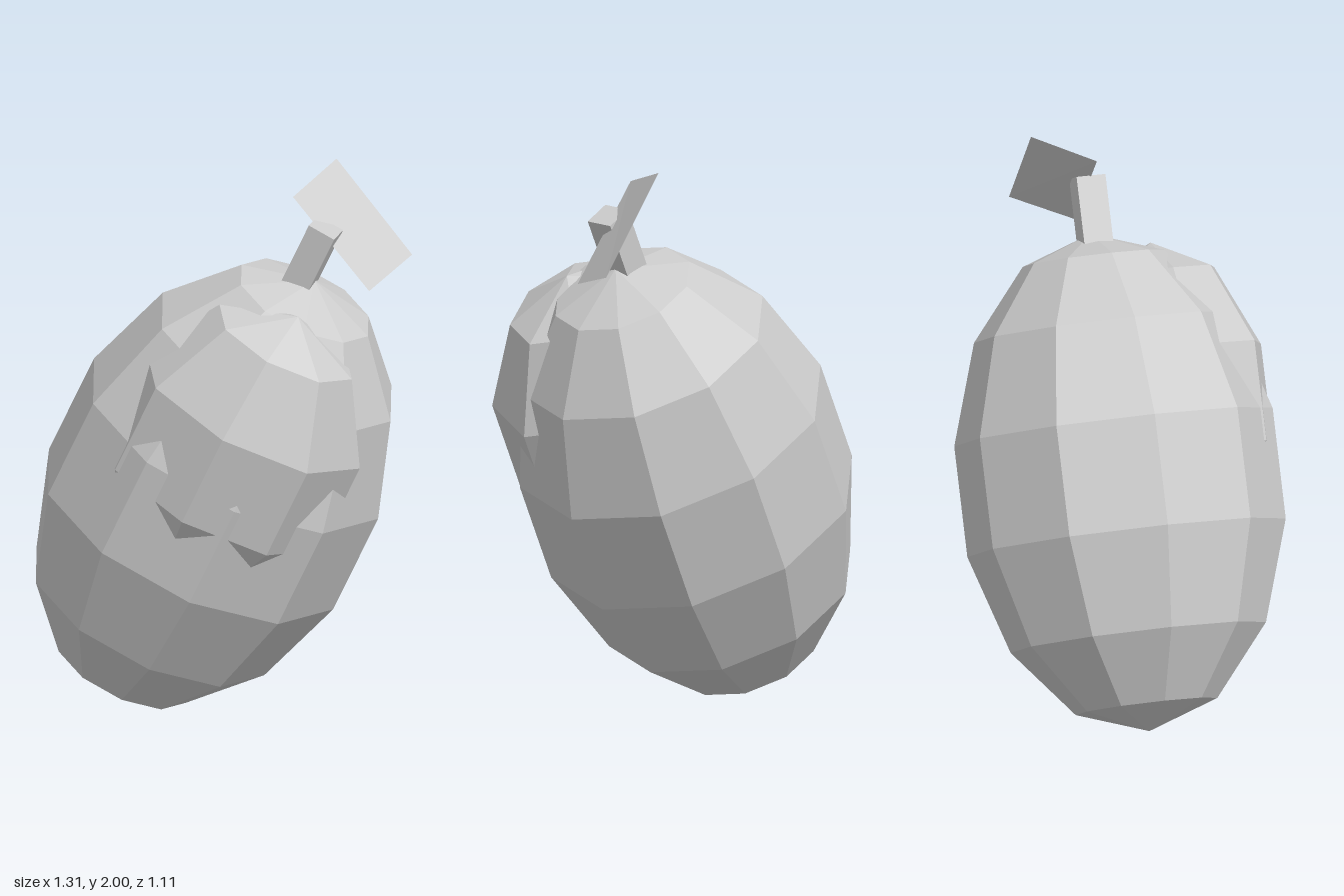
import * as THREE from 'three';

const TILT = -25 * Math.PI / 180;

// Faceted copy of a geometry with one normal per face
function faceted(geometry) {
  const flat = geometry.index ? geometry.toNonIndexed() : geometry;
  flat.computeVertexNormals();
  return flat;
}

export function createModel() {
  const model = new THREE.Group();
  model.name = 'fruit';

  const grey = new THREE.MeshStandardMaterial({ color: 0xcccccc, side: THREE.DoubleSide });
  grey.name = 'light grey';

  const add = (name, geometry, parent) => {
    const mesh = new THREE.Mesh(faceted(geometry), grey);
    mesh.name = name;
    parent.add(mesh);
    return mesh;
  };

  // Leaning body, its long axis tilted towards +x
  const body = new THREE.Group();
  body.name = 'leaningBody';
  body.position.set(-0.008, 0.824, -0.025);
  body.rotation.z = TILT;
  model.add(body);
  add('fruitBody', new THREE.SphereGeometry(1, 10, 7).scale(0.589, 0.877, 0.575), body);

  // Square stem, sunk into the top
  add('stem', new THREE.BoxGeometry(0.102, 0.36, 0.105).translate(-0.047, 0.895, 0), body);

  // Bulge swelling out of the front, sharing the tilt
  const bulge = add('frontBulge', new THREE.SphereGeometry(1, 8, 5).scale(0.455, 0.57, 0.373), model);
  bulge.position.set(0.13, 1.043, 0.195);
  bulge.rotation.z = TILT;

  // Flat four-cornered leaf resting on the stem
  const leaf = new THREE.BufferGeometry();
  leaf.setAttribute('position', new THREE.Float32BufferAttribute([
    0.283, 1.92, -0.025,
    0.562, 1.6, -0.025,
    0.653, 1.673, -0.238,
    0.376, 2.0, -0.238,
  ], 3));
  leaf.setIndex([0, 1, 2, 0, 2, 3]);
  add('leaf', leaf, model);

  return model;
}
